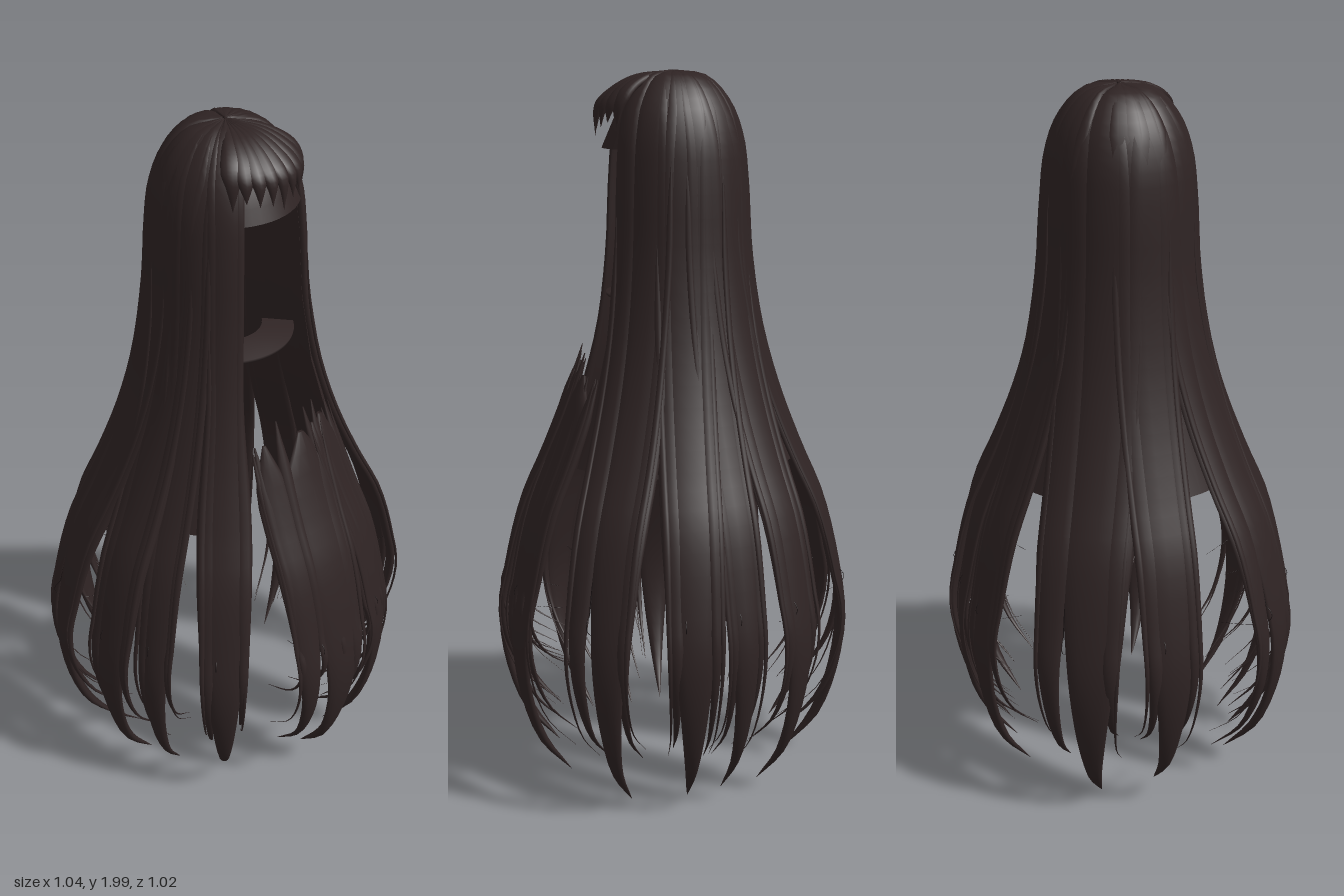
import * as THREE from 'three';

const DEG = Math.PI / 180;

// Bell-shaped fall of the hair as [radius, height], crown to tip
const FALL = [[0.006, 1.985], [0.09, 1.972], [0.15, 1.91], [0.185, 1.82], [0.2, 1.7], [0.213, 1.5], [0.245, 1.3],
  [0.295, 1.12], [0.36, 0.95], [0.425, 0.8], [0.472, 0.62], [0.497, 0.45], [0.482, 0.28], [0.43, 0.12], [0.34, 0]];

// Panels: angle from the front in degrees, half width, radius scale, upper squeeze, starts low over the chest
const PANELS = [
  [174, 0.132, 1, 1, false], [205, 0.085, 1, 1, false], [246, 0.11, 1.05, 1, false], [274, 0.082, 1, 1, false],
  [291, 0.058, 0.95, 1, false], [316, 0.075, 0.97, 0.65, false], [355, 0.132, 1, 1, true], [25, 0.085, 0.98, 1, true],
  [65, 0.1, 1.06, 0.9, false], [94, 0.08, 1, 1, false], [112, 0.06, 0.95, 1, false], [134, 0.075, 0.97, 1, false],
];

function seeded(seed) {
  return () => {
    seed = (seed * 16807) % 2147483647;
    return seed / 2147483647;
  };
}

// Smooth samples of a [radius, height] path
function samplePath(points, count) {
  const curve = new THREE.CatmullRomCurve3(points.map(([r, y]) => new THREE.Vector3(r, y, 0)));
  return curve.getPoints(count).map((p) => [p.x, p.y]);
}

// Lens-shaped lock swept down a path; width(t, y) gives the half width and shift(t, y) the sideways offset
function lockGeometry(path, angle, shift, width, thick) {
  const sides = 12, pos = [], idx = [], last = path.length - 1;
  path.forEach(([r, y], j) => {
    const a = path[Math.max(j - 1, 0)], b = path[Math.min(j + 1, last)];
    const len = Math.hypot(b[0] - a[0], b[1] - a[1]);
    const nr = (a[1] - b[1]) / len, ny = (b[0] - a[0]) / len, t = j / last;
    const w = width(t, y), th = thick * Math.min(1, w / 0.02);
    for (let k = 0; k < sides; k++) {
      const phi = (k / sides) * Math.PI * 2;
      const turn = angle + (shift(t, y) + w * Math.cos(phi)) / Math.max(r, 0.16);
      const rr = r + nr * th * Math.sin(phi);
      pos.push(rr * Math.sin(turn), y + ny * th * Math.sin(phi), rr * Math.cos(turn));
      if (j < last) {
        const p = j * sides + k, q = j * sides + (k + 1) % sides;
        idx.push(p, q, p + sides, q, q + sides, p + sides);
      }
    }
  });
  const geo = new THREE.BufferGeometry();
  geo.setAttribute('position', new THREE.Float32BufferAttribute(pos, 3));
  geo.setIndex(idx);
  geo.computeVertexNormals();
  return geo;
}

export function createModel() {
  const model = new THREE.Group();
  model.name = 'longHair';
  const rand = seeded(71);
  const hair = new THREE.MeshStandardMaterial({ name: 'darkBrownHair', color: 0x2e2323, side: THREE.DoubleSide });
  const line = new THREE.MeshStandardMaterial({ name: 'strandShadow', color: 0x171011 });

  const add = (parent, name, geo, mat) => {
    const mesh = new THREE.Mesh(geo, mat);
    mesh.name = name;
    parent.add(mesh);
  };
  const lathe = (pts, start, length) => new THREE.LatheGeometry(
    pts.map(([r, y]) => new THREE.Vector2(r, y)), 48, start, length);

  // Scalp cap and the lining under the back and sides
  add(model, 'scalpCap', lathe([[0.195, 1.79], [0.178, 1.83], [0.143, 1.91], [0.085, 1.965], [0, 1.985]],
    0, Math.PI * 2), hair);
  const open = 40 * DEG;
  add(model, 'lining', lathe([[0.355, 0.94], [0.29, 1.11], [0.237, 1.3], [0.206, 1.5], [0.193, 1.7], [0.178, 1.83]],
    open, Math.PI * 2 - 2 * open), hair);

  // Thin cross band inside the front opening
  const arc = 54 * DEG;
  add(model, 'crossBand', lathe([[0.1, 1.4], [0.185, 1.385], [0.187, 1.395], [0.1, 1.41]], -arc, 2 * arc), hair);

  // Long panels, each a broad leaf-shaped lock with smaller pointed locks beside it
  for (const [deg, half, scale, squeeze, low] of PANELS) {
    const panel = new THREE.Group();
    panel.name = low ? 'frontPanel' : 'hairPanel';
    model.add(panel);
    const angle = deg * DEG;

    const fall = (tip, top, grow) => samplePath(FALL, 44).filter(([, y]) => y < top).map(([r, y]) => {
      const k = THREE.MathUtils.smoothstep(1.5 - y, 0, 0.9);
      return [r * (1 + (scale - 1) * k) + grow, y < 0.6 ? tip + (y / 0.6) * (0.6 - tip) : y];
    });
    const narrow = (y) => 1 + (squeeze - 1) * THREE.MathUtils.smoothstep(y, 0.9, 1.35);
    const strand = (name, tip, top, offset, w, thick, mat, grow) => {
      const lean = (t, y) => offset * narrow(y) * (0.75 + 0.25 * THREE.MathUtils.smoothstep(y, 0, 0.55));
      const taper = (t, y) => {
        const end = Math.pow(THREE.MathUtils.clamp((y - tip) / (0.8 - tip), 0, 1), 0.8);
        const start = top < 2 ? Math.min(1, 0.1 + t * 9) : 1;
        return Math.max(0.0006, w * end * start * narrow(y));
      };
      add(panel, name, lockGeometry(fall(tip, top, grow), angle, lean, taper, thick), mat);
    };

    // Main leaf, side leaf and the shadow line between them
    const wide = half > 0.09;
    const top = () => (low ? 1.16 + 0.08 * rand() : 3);
    strand('mainLock', 0.005 + 0.04 * rand(), top(), wide ? half * 0.3 : 0, wide ? half * 0.74 : half, 0.013, hair, 0);
    strand('sideLock', 0.08 + 0.1 * rand(), top(), -half * 0.62, half * 0.4, 0.012, hair, 0.001);
    strand('sideLock', 0.12 + 0.12 * rand(), top(), half * 0.72, half * 0.3, 0.012, hair, 0.001);
    strand('strandLine', 0.5, low ? 1.15 : 3, -half * 0.3, 0.0035, 0.014, line, 0.003);

    // Pointed tufts at the head of a low panel
    for (let i = 0; low && i < 4; i++) {
      strand('tuft', 0.35, 1.2 + 0.04 * rand(), half * (i * 0.55 - 0.82), 0.02, 0.012, hair, 0.001);
    }

    // Thin stray strands along both edges
    for (const s of [-1, 1]) {
      strand('strayStrand', 0.1 + 0.12 * rand(), low ? 1.2 : 1.5 + 0.3 * rand(), s * half * (0.78 + 0.22 * rand()),
        0.01, 0.011, hair, 0.005 + 0.008 * rand());
    }
  }

  // Short fringe standing off the forehead
  const fringe = new THREE.Group();
  fringe.name = 'fringe';
  model.add(fringe);
  for (let i = -4; i <= 4; i++) {
    const tip = 1.82 + 0.03 * rand() + (i % 2 ? 0.02 : 0);
    const out = 0.212 - 0.001 * i * i;
    const path = samplePath([[0.006, 1.985], [0.1, 1.974], [0.165, 1.94], [out - 0.008, 1.9], [out, tip]], 20);
    add(fringe, 'fringeLock', lockGeometry(path, i * 9.5 * DEG, () => 0,
      (t) => Math.max(0.0006, 0.028 * Math.min(1, (1 - t) * 2.6)), 0.012), hair);
  }

  // Raised ridges radiating from the crown
  const crown = samplePath(FALL.slice(0, 5), 16).map(([r, y]) => [r + 0.004, y]);
  for (let i = 0; i < 16; i++) {
    const a = (45 + i * 18) * DEG;
    add(model, 'crownRidge', lockGeometry(crown, a, () => 0,
      (t) => Math.max(0.0006, 0.009 * Math.sin(Math.PI * Math.min(1, t + 0.1))), 0.012), hair);
  }
  return model;
}
